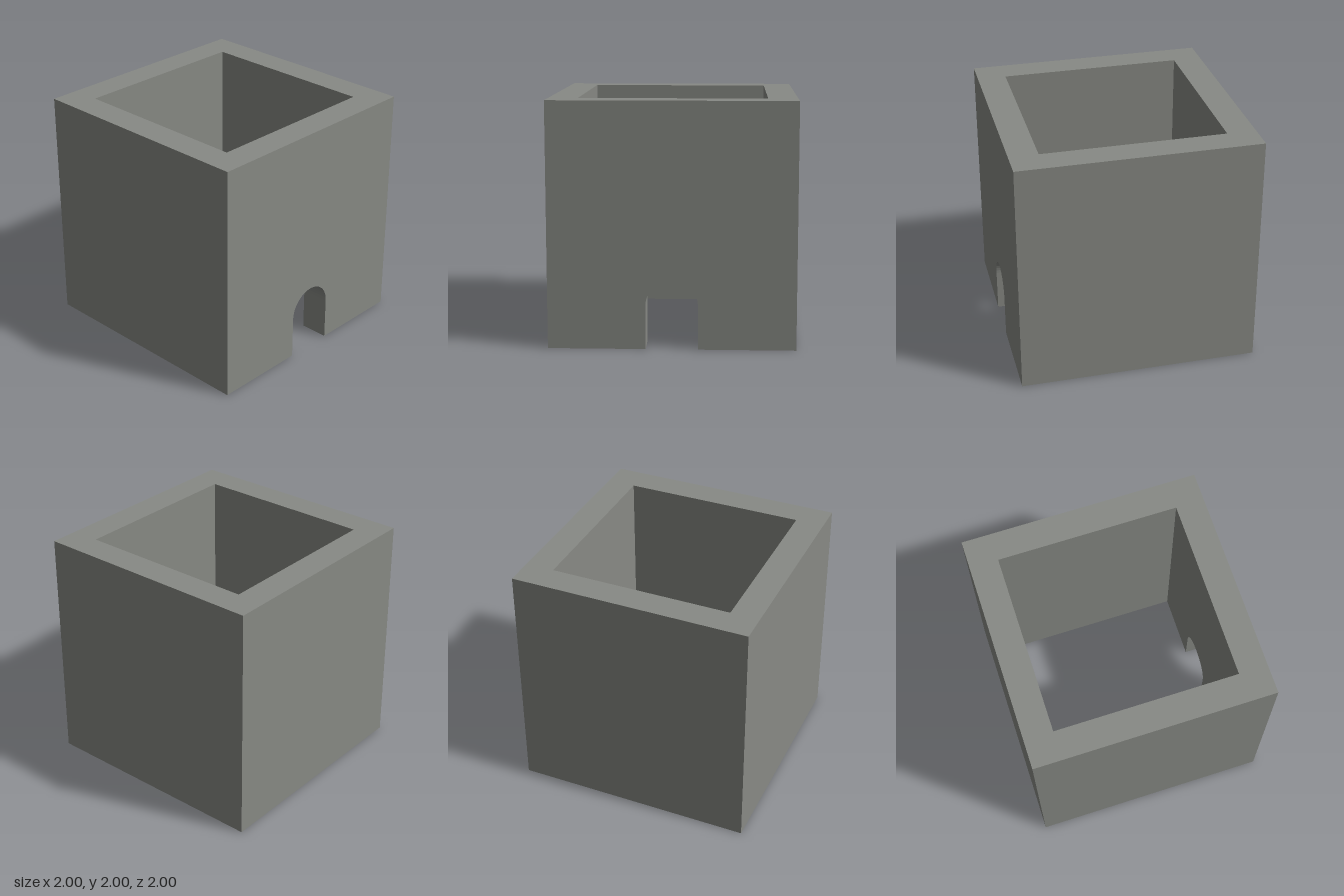
import * as THREE from 'three';
import { mergeGeometries } from 'three/addons/utils/BufferGeometryUtils.js';

const OUT = 1, IN = 0.76, HEIGHT = 2;       // outer and inner half widths, height
const DOOR = 0.21, SPRING = 0.36, STEPS = 24; // doorway half width, arch start, arch sides

const points = (list) => list.map(([x, y]) => new THREE.Vector2(x, y));

// Doorway outline from bottom right, over the arch, to bottom left
function doorOutline() {
  const list = [[DOOR, 0]];
  for (let i = 0; i <= STEPS; i++) {
    const a = (i / STEPS) * Math.PI;
    list.push([DOOR * Math.cos(a), SPRING + DOOR * Math.sin(a)]);
  }
  list.push([-DOOR, 0]);
  return list;
}

// One upright wall face, with or without the doorway cut out
function panel(half, hasDoor) {
  const cut = hasDoor ? doorOutline().reverse() : [];
  const outline = [[-half, 0], ...cut, [half, 0], [half, HEIGHT], [-half, HEIGHT]];
  return new THREE.ShapeGeometry(new THREE.Shape(points(outline)));
}

export function createModel() {
  const group = new THREE.Group();
  const stone = new THREE.MeshStandardMaterial({ color: 0x888a85 });
  stone.name = 'stoneGrey';
  stone.flatShading = true;
  const faces = [];

  // Four walls, each an outer and an inner face; the front one has the doorway
  for (let k = 0; k < 4; k++) {
    const turn = (k * Math.PI) / 2;
    faces.push(panel(OUT, k === 0).translate(0, 0, OUT).rotateY(turn));
    faces.push(panel(IN, k === 0).rotateY(Math.PI).translate(0, 0, IN).rotateY(turn));
  }

  // Square top rim
  const square = (h) => points([[-h, -h], [h, -h], [h, h], [-h, h]]);
  const rim = new THREE.Shape(square(OUT));
  rim.holes.push(new THREE.Path(square(IN)));
  faces.push(new THREE.ShapeGeometry(rim).rotateX(-Math.PI / 2).translate(0, HEIGHT, 0));

  // Underside, broken by the doorway
  const base = new THREE.Shape(points([
    [-DOOR, OUT], [-OUT, OUT], [-OUT, -OUT], [OUT, -OUT], [OUT, OUT], [DOOR, OUT],
    [DOOR, IN], [IN, IN], [IN, -IN], [-IN, -IN], [-IN, IN], [-DOOR, IN],
  ]));
  faces.push(new THREE.ShapeGeometry(base).rotateX(Math.PI / 2));

  const walls = new THREE.Mesh(mergeGeometries(faces), stone);
  walls.name = 'walls';
  group.add(walls);

  // Doorway lining: a strip bent along the outline through the wall
  const outline = doorOutline();
  const lining = new THREE.PlaneGeometry(1, 1, outline.length - 1, 1);
  const pos = lining.attributes.position;
  for (let i = 0; i < pos.count; i++) {
    const [x, y] = outline[i % outline.length];
    pos.setXYZ(i, x, y, i < outline.length ? IN : OUT);
  }
  const flat = lining.toNonIndexed();
  flat.computeVertexNormals();
  const doorway = new THREE.Mesh(flat, stone);
  doorway.name = 'doorwayLining';
  group.add(doorway);

  return group;
}
